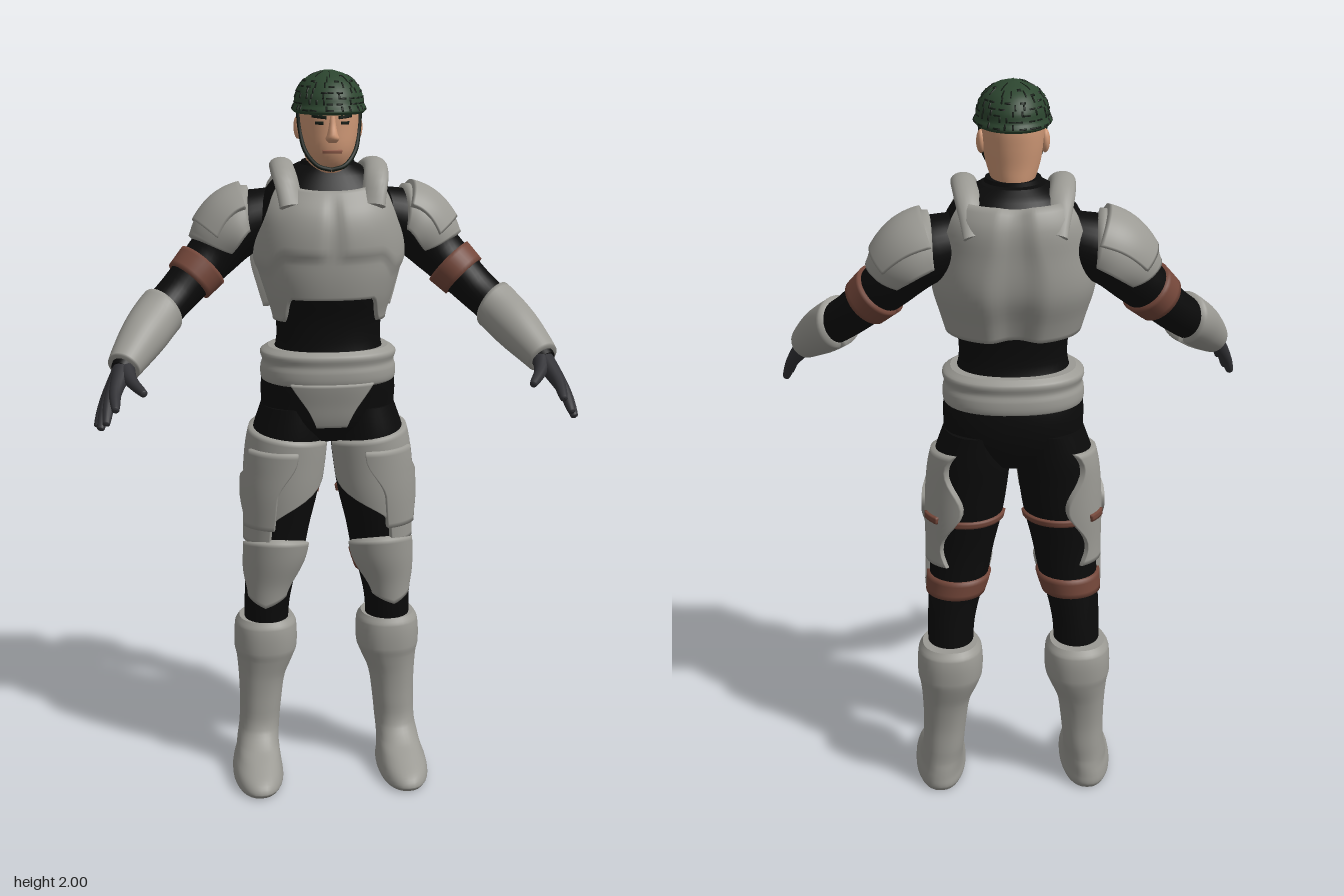
import * as THREE from 'three';
import { mergeGeometries } from 'three/addons/utils/BufferGeometryUtils.js';

const DEG = Math.PI / 180, V = (x, y, z) => new THREE.Vector3(x, y, z);
const step = THREE.MathUtils.smoothstep;
const val = (f, t) => (typeof f === 'function' ? f(t) : f);
const mat = (name, color) => Object.assign(new THREE.MeshStandardMaterial({ color }), { name });

// Smooth interpolation of rows; the first column is the key
function sample(rows, k) {
  let i = 0;
  while (i < rows.length - 2 && k > rows[i + 1][0]) i++;
  const a = rows[i], b = rows[i + 1], p = rows[i - 1] || a, q = rows[i + 2] || b;
  const h = b[0] - a[0], t = Math.min(1, Math.max(0, (k - a[0]) / h)), t2 = t * t, t3 = t2 * t;
  return a.map((_, c) => {
    const m0 = (b[c] - p[c]) / (b[0] - p[0]) * h, m1 = (q[c] - a[c]) / (q[0] - a[0]) * h;
    return (2 * t3 - 3 * t2 + 1) * a[c] + (t3 - 2 * t2 + t) * m0 + (3 * t2 - 2 * t3) * b[c] + (t3 - t2) * m1;
  });
}

// Surface of level rings, rows [y, cx, cz, rx, rz]; 0 deg = +x, 90 deg = front
function column(rows, power = 1) {
  const pw = (x) => Math.sign(x) * Math.abs(x) ** power;
  const at = (k, a) => {
    const [, cx, cz, rx, rz] = sample(rows, k);
    return V(cx + rx * pw(Math.cos(a)), Math.min(rows.at(-1)[0], Math.max(rows[0][0], k)), cz + rz * pw(Math.sin(a)));
  };
  return { rows, at };
}

// Surface of rings square to a path, rows [key, x, y, z, rSide, rUp]; 90 deg = upper side
function limb(rows) {
  const centre = (k) => V(...sample(rows, k).slice(1, 4));
  const at = (k, a) => {
    const s = sample(rows, k), T = centre(k + 0.02).sub(centre(k - 0.02)).normalize();
    const side = V(-T.z, 0, T.x).normalize(), up = side.clone().cross(T);
    return V(s[1], s[2], s[3]).addScaledVector(side, Math.cos(a) * s[4]).addScaledVector(up, Math.sin(a) * s[5]);
  };
  return { rows, at };
}

function finish(points, index) {
  const g = new THREE.BufferGeometry();
  g.setAttribute('position', new THREE.Float32BufferAttribute(points.flatMap((p) => p.toArray()), 3));
  g.setIndex(index);
  g.computeVertexNormals();
  return g;
}

// Closed body over a whole surface, with flat end caps
function solid({ rows, at }, n = 32, sub = 4) {
  const pts = [], idx = [], levels = [];
  for (let r = 0; r < rows.length - 1; r++)
    for (let s = 0; s < sub; s++) levels.push(rows[r][0] + (rows[r + 1][0] - rows[r][0]) * s / sub);
  levels.push(rows.at(-1)[0]);
  const ring = (k) => Array.from({ length: n }, (_, i) => at(k, i / n * 2 * Math.PI));
  levels.forEach((k, j) => {
    pts.push(...ring(k));
    if (j) for (let i = 0; i < n; i++) {
      const a = (j - 1) * n + i, c = (j - 1) * n + (i + 1) % n;
      idx.push(a, a + n, c, c, a + n, c + n);
    }
  });
  for (const top of [false, true]) {
    const r = ring(top ? levels.at(-1) : levels[0]), o = pts.length;
    pts.push(...r, r.reduce((m, p) => m.add(p), V(0, 0, 0)).divideScalar(n));
    for (let i = 0; i < n; i++) {
      const j = (i + 1) % n;
      idx.push(o + n, o + (top ? j : i), o + (top ? i : j));
    }
  }
  return finish(pts, idx);
}

// Raised plate on part of a surface: key range, angle range, thickness; its rim sinks into the surface
function plate({ at }, k0, k1, a0, a1, th, nu = 28, nv = 14) {
  const ticks = (n) => [0, 0.015, ...Array.from({ length: n - 1 }, (_, i) => (i + 1) / n), 0.985, 1];
  const us = ticks(nu), vs = ticks(nv), pts = [], idx = [], e = 0.004;
  vs.forEach((v, j) => us.forEach((u, i) => {
    const a = THREE.MathUtils.lerp(val(a0, v), val(a1, v), u) * DEG;
    const k = THREE.MathUtils.lerp(val(k0, u), val(k1, u), v);
    const n = at(k + e, a).sub(at(k - e, a)).cross(at(k, a + e).sub(at(k, a - e))).normalize();
    const rim = !i || !j || i === us.length - 1 || j === vs.length - 1;
    pts.push(at(k, a).addScaledVector(n, rim ? -0.004 : typeof th === 'function' ? th(u, v) : th));
    if (i && j) {
      const d = j * us.length + i, b = d - 1, c = d - us.length, o = c - 1;
      idx.push(o, b, c, c, b, d);
    }
  }));
  return finish(pts, idx);
}

function mirrored(g) {
  const m = g.clone().scale(-1, 1, 1), ix = m.index.array;
  for (let i = 0; i < ix.length; i += 3) [ix[i + 1], ix[i + 2]] = [ix[i + 2], ix[i + 1]];
  return m;
}

export function createModel() {
  const model = new THREE.Group();
  model.name = 'armouredSoldier';
  const armour = mat('armourGrey', 0x9b9a94), suit = mat('suitBlack', 0x0b0b0b), leather = mat('leatherBrown', 0x74473a);
  const skin = mat('skin', 0xcf9876), cloth = mat('helmetGreen', 0x2c452f), net = mat('netDark', 0x141c15);
  const glove = mat('gloveGrey', 0x323236), lip = mat('lips', 0x9a6350);
  const add = (name, g, m) => {
    const mesh = new THREE.Mesh(g, m);
    mesh.name = name;
    model.add(mesh);
  };
  const pair = (name, g, m) => { add(name + 'Left', g, m); add(name + 'Right', mirrored(g), m); };

  // Torso undersuit and collar
  const torso = column([[1.0, 0, -0.11, 0.06, 0.07], [1.05, 0, -0.105, 0.165, 0.105], [1.12, 0, -0.105, 0.185, 0.125],
    [1.2, 0, -0.095, 0.178, 0.13], [1.27, 0, -0.085, 0.145, 0.11], [1.35, 0, -0.085, 0.145, 0.115],
    [1.42, 0, -0.085, 0.165, 0.137], [1.5, 0, -0.095, 0.187, 0.157], [1.6, 0, -0.1, 0.183, 0.158],
    [1.68, 0, -0.115, 0.168, 0.14], [1.73, 0, -0.115, 0.125, 0.11], [1.755, 0, -0.11, 0.08, 0.085]], 0.9);
  add('torsoSuit', solid(torso, 48), suit);
  add('collar', solid(column([[1.68, 0, -0.1, 0.095, 0.09], [1.735, 0, -0.095, 0.082, 0.078], [1.765, 0, -0.095, 0.07, 0.073]])), suit);

  // Chest and back armour, with chest muscles and a spine groove
  const hem = (u) => 1.41 - 0.07 * step(Math.abs(2 * u - 1), 0.45, 0.7);
  const inset = (v) => 8 + 24 * step(v, 0.45, 0.85);
  add('chestArmour', plate(torso, hem, (u) => 1.715 - 0.02 * Math.sin(Math.PI * u), inset, (v) => 180 - inset(v), (u, v) =>
    0.011 + 0.009 * step(v, 0.36, 0.46) * step(Math.abs(u - 0.5), 0, 0.06) * (1 - step(v, 0.75, 1)), 44, 24), armour);
  add('backArmour', plate(torso, 1.37, 1.72, (v) => 180 + inset(v), (v) => 360 - inset(v), (u, v) =>
    0.008 + 0.02 * step(Math.abs(u - 0.5), 0.01, 0.13) * (1 - 0.4 * v), 44, 20), armour);
  pair('shoulderStrap', solid(limb([[0, 0.105, 1.655, 0.025, 0.036, 0.018], [1, 0.12, 1.725, -0.015, 0.033, 0.02],
    [2, 0.125, 1.75, -0.09, 0.032, 0.022], [3, 0.115, 1.73, -0.18, 0.034, 0.022], [4, 0.09, 1.65, -0.245, 0.04, 0.018]]), 20), armour);

  // Belt and groin guard
  add('belt', solid(column([[1.165, 0, -0.097, 0.172, 0.125], [1.175, 0, -0.097, 0.184, 0.136], [1.205, 0, -0.096, 0.186, 0.138],
    [1.225, 0, -0.095, 0.181, 0.134], [1.25, 0, -0.095, 0.186, 0.138], [1.265, 0, -0.095, 0.165, 0.122]], 0.88), 48), armour);
  add('groinGuard', plate(torso, 1.055, 1.18, (v) => 78 - 24 * v ** 1.5, (v) => 102 + 24 * v ** 1.5, 0.012), armour);

  // Legs
  const leg = column([[0.4, 0.175, -0.13, 0.062, 0.065], [0.5, 0.174, -0.122, 0.064, 0.068], [0.58, 0.165, -0.115, 0.07, 0.07],
    [0.66, 0.15, -0.105, 0.08, 0.078], [0.75, 0.14, -0.1, 0.088, 0.085], [0.85, 0.128, -0.1, 0.1, 0.098],
    [0.95, 0.118, -0.102, 0.105, 0.105], [1.02, 0.11, -0.105, 0.102, 0.11], [1.1, 0.1, -0.108, 0.085, 0.11]]);
  pair('legSuit', solid(leg), suit);
  pair('thighArmour', plate(leg, 0.705, (u) => 1.05 - 0.05 * u, (v) => -70 + 15 * Math.sin(v * 9),
    (v) => 75 + 85 * step(v, 0.2, 0.65), 0.012, 36, 20), armour);
  pair('thighPad', plate(leg, 0.755, 0.985, (v) => 22 - 25 * step(v, 0.1, 0.5) + 30 * step(v, 0.55, 0.8),
    (v) => 80 + 22 * step(v, 0.4, 0.9), 0.021), armour);
  pair('thighStrap', plate(leg, 0.835, 0.853, 185, 300, 0.007, 20, 3), leather);
  pair('thighBuckle', plate(leg, 0.842, 0.862, -48, -18, 0.018, 8, 3), leather);
  pair('kneeStrap', plate(leg, 0.61, 0.665, 150, 385, 0.008, 30, 4), leather);
  pair('kneeGuard', plate(leg, (u) => 0.515 + 0.03 * Math.abs(2 * u - 1), (u) => 0.7 + 0.025 * Math.sin(Math.PI * u),
    (v) => 38 - 36 * step(v, 0, 0.7), (v) => 128 + 34 * step(v, 0, 0.8), (u) => 0.012 + 0.01 * Math.sin(Math.PI * u)), armour);

  // Boots
  pair('boot', solid(column([[0, 0.21, -0.045, 0.066, 0.155], [0.015, 0.21, -0.043, 0.072, 0.166], [0.04, 0.21, -0.052, 0.069, 0.156],
    [0.065, 0.207, -0.078, 0.063, 0.127], [0.09, 0.205, -0.106, 0.06, 0.095], [0.13, 0.2, -0.127, 0.058, 0.074],
    [0.2, 0.195, -0.131, 0.06, 0.07], [0.28, 0.19, -0.136, 0.067, 0.077], [0.34, 0.18, -0.14, 0.082, 0.09],
    [0.37, 0.178, -0.14, 0.09, 0.096], [0.44, 0.177, -0.14, 0.088, 0.094], [0.462, 0.177, -0.138, 0.076, 0.08]], 0.9)), armour);

  // Arms, shoulder pads, bands and forearm guards
  const arm = limb([[0, 0.14, 1.615, -0.145, 0.075, 0.075], [1, 0.235, 1.585, -0.15, 0.088, 0.085], [2, 0.305, 1.515, -0.138, 0.073, 0.07],
    [3, 0.355, 1.465, -0.115, 0.065, 0.062], [4, 0.41, 1.41, -0.085, 0.058, 0.055], [5, 0.46, 1.365, -0.04, 0.056, 0.053],
    [6, 0.502, 1.32, 0.025, 0.05, 0.05], [7, 0.538, 1.278, 0.083, 0.039, 0.039], [8, 0.56, 1.25, 0.122, 0.029, 0.031]]);
  pair('armSuit', solid(arm), suit);
  pair('shoulderPad', plate(arm, (u) => 0.75 - 0.25 * Math.sin(Math.PI * u), (u) => 1.75 + 0.45 * Math.sin(Math.PI * u), -12, 200,
    (u, v) => 0.012 + 0.01 * Math.sin(Math.PI * v)), armour);
  pair('shoulderCap', plate(arm, 0.65, 1.65, 25, 165, 0.027), armour);
  pair('armBand', plate(arm, 2.62, 3.4, -90, 270, 0.009, 36, 5), leather);
  pair('forearmGuard', plate(arm, (u) => 5.1 - 0.5 * Math.sin(Math.PI * u), 7.75, -90, 270, 0.012, 36, 16), armour);

  // Gloved hands: palm made of the merging finger roots
  const digits = [
    [[0.575, 1.215, 0.205], [0.575, 1.185, 0.275]], [[0.588, 1.198, 0.198], [0.6, 1.147, 0.264]],
    [[0.597, 1.185, 0.185], [0.615, 1.127, 0.235]], [[0.602, 1.18, 0.165], [0.624, 1.124, 0.196]],
    [[0.535, 1.235, 0.175], [0.503, 1.215, 0.235]]];
  pair('glove', mergeGeometries(digits.map(([knuckle, tip]) => solid(limb([[0, 0.553, 1.258, 0.11, 0.028, 0.028],
    [1, ...knuckle, 0.017, 0.017], [1.9, ...tip, 0.01, 0.01], [2, ...tip.map((t, i) => t + (t - knuckle[i]) * 0.06), 0.004, 0.004]]), 14))), glove);

  // Head and face
  const head = column([[1.7, 0, -0.095, 0.065, 0.065], [1.745, 0, -0.084, 0.05, 0.077], [1.765, 0, -0.076, 0.058, 0.088],
    [1.8, 0, -0.07, 0.069, 0.096], [1.85, 0, -0.072, 0.077, 0.1], [1.9, 0, -0.074, 0.079, 0.101], [1.94, 0, -0.074, 0.072, 0.09]], 0.92);
  add('head', solid(head, 40), skin);
  add('nose', solid(column([[1.82, 0, 0.022, 0.012, 0.01], [1.83, 0, 0.026, 0.018, 0.021], [1.842, 0, 0.027, 0.014, 0.021],
    [1.865, 0, 0.023, 0.01, 0.014], [1.888, 0, 0.02, 0.009, 0.01]]), 16), skin);
  add('mouth', plate(head, 1.793, 1.802, 70, 110, 0.003, 12, 3), lip);
  pair('eyebrow', plate(head, (u) => 1.884 - 0.004 * u, (u) => 1.892 - 0.004 * u, 52, 80, 0.004, 8, 3), net);
  pair('eye', plate(head, 1.866, 1.874, 58, 75, 0.002, 6, 3), net);
  pair('ear', new THREE.SphereGeometry(1, 16, 12).scale(0.012, 0.031, 0.021).rotateX(-0.2).translate(0.08, 1.852, -0.085), skin);

  // Helmet with dark netting patches and chin strap
  const helmet = column([[1.892, 0, -0.065, 0.09, 0.122], [1.9, 0, -0.065, 0.098, 0.13], [1.915, 0, -0.066, 0.092, 0.12],
    [1.94, 0, -0.068, 0.088, 0.113], [1.97, 0, -0.07, 0.071, 0.09], [1.99, 0, -0.07, 0.043, 0.056], [2, 0, -0.07, 0.012, 0.016]]);
  add('helmet', solid(helmet, 40), cloth);
  let seed = 7;
  const rnd = () => (seed = (seed * 16807) % 2147483647) / 2147483647;
  const patches = [];
  for (const [y, count] of [[1.901, 26], [1.917, 26], [1.931, 24], [1.945, 22], [1.959, 19], [1.972, 15], [1.984, 9]])
    for (let i = 0; i < count; i++) {
      const a = (i + rnd() * 0.6) / count * 360, tall = rnd() > 0.5;
      patches.push(plate(helmet, y, y + (tall ? 0.013 : 0.004), a, a + (tall ? 3 : 11), 0.0015, 2, 2));
    }
  add('helmetNetting', mergeGeometries(patches), net);
  const strap = new THREE.CatmullRomCurve3([V(0.082, 1.9, -0.06), V(0.078, 1.85, -0.05), V(0.066, 1.795, -0.025), V(0.035, 1.758, 0.0), V(0, 1.748, 0.004)]);
  pair('chinStrap', new THREE.TubeGeometry(strap, 24, 0.006, 8), net);

  return model;
}
